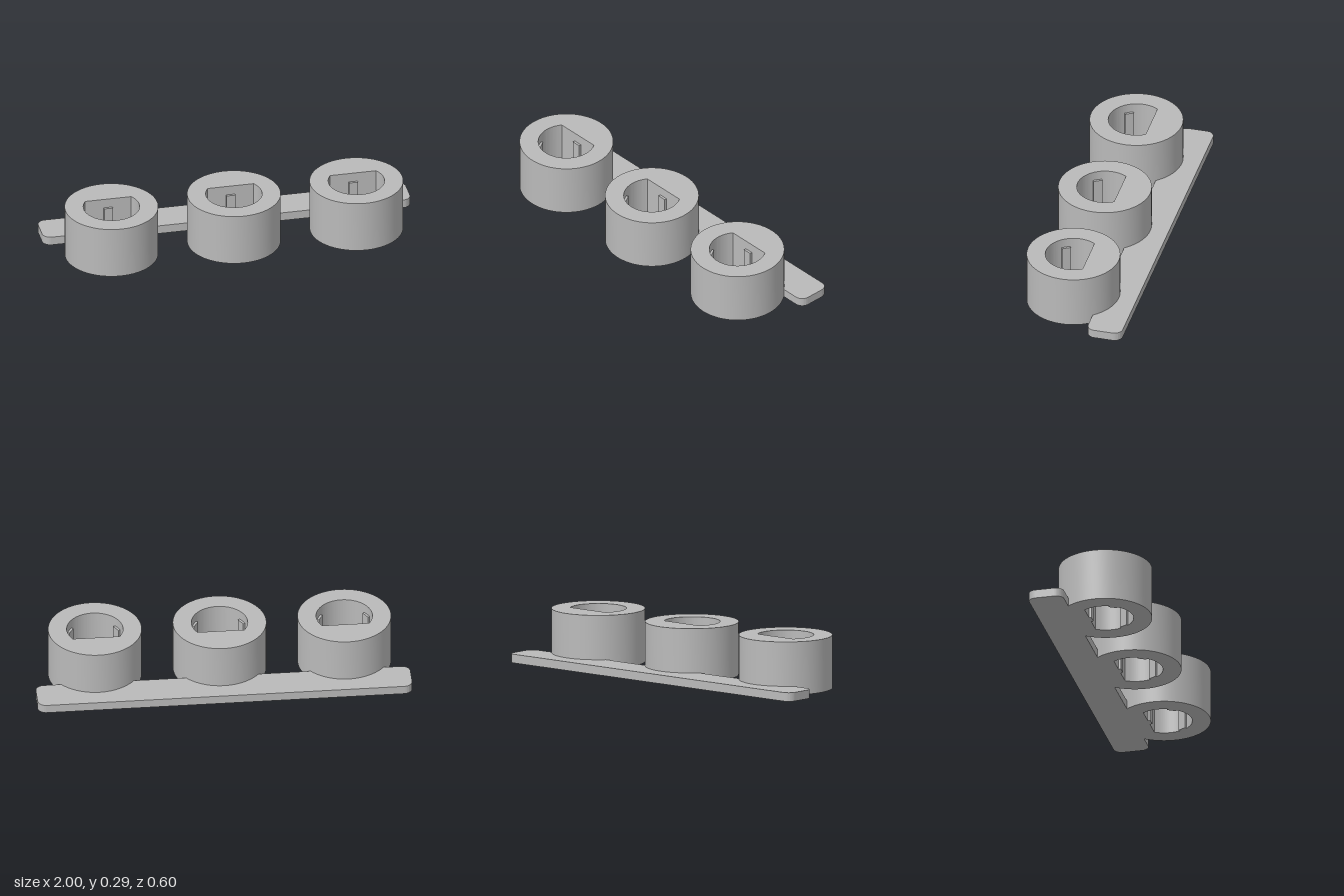
import * as THREE from 'three';
import { toCreasedNormals } from 'three/addons/utils/BufferGeometryUtils.js';

const RING_Z = 0.048, RING_R = 0.249, HOLE_R = 0.15, FLAT = 0.083;
const RING_H = 0.286, BAR_H = 0.047, NUB_H = 0.235;

// Extrude a plan shape (x, -z) upward from y = 0, smooth around its curves.
function extrudeUp(shape, height) {
  const geo = new THREE.ExtrudeGeometry(shape, { depth: height, bevelEnabled: false, curveSegments: 64 });
  geo.rotateX(-Math.PI / 2);
  return toCreasedNormals(geo, 0.5);
}

function roundedBar(x0, y0, x1, y1, r) {
  const s = new THREE.Shape();
  s.absarc(x1 - r, y0 + r, r, -Math.PI / 2, 0);
  s.absarc(x1 - r, y1 - r, r, 0, Math.PI / 2);
  s.absarc(x0 + r, y1 - r, r, Math.PI / 2, Math.PI);
  s.absarc(x0 + r, y0 + r, r, Math.PI, Math.PI * 1.5);
  s.closePath();
  return s;
}

export function createModel() {
  const grey = new THREE.MeshStandardMaterial({ color: 0xbababa });
  grey.name = 'grey plastic';
  const model = new THREE.Group();
  model.name = 'holderRack';

  const add = (parent, geo, name) => {
    const mesh = new THREE.Mesh(geo, grey);
    mesh.name = name;
    parent.add(mesh);
    return mesh;
  };

  // Flat mounting strip with rounded corners
  add(model, extrudeUp(roundedBar(-1, 0.108, 1, 0.298, 0.045), BAR_H), 'mountingBar');

  // Thick ring with a D-shaped bore, flat side towards the bar
  const ring = new THREE.Shape().absarc(0, 0, RING_R, 0, Math.PI * 2);
  const a = Math.asin(FLAT / HOLE_R);
  const bore = new THREE.Path().absarc(0, 0, HOLE_R, Math.PI - a, Math.PI * 2 + a);
  bore.closePath();
  ring.holes.push(bore);
  const ringGeo = extrudeUp(ring, RING_H);

  // Grip nubs: one on the flat, two on the round wall
  const nubGeo = new THREE.BoxGeometry(0.048, NUB_H, 0.03);
  const nubs = [
    { angle: 0, dist: FLAT + 0.002 },
    { angle: Math.PI * 2 / 3, dist: HOLE_R + 0.002 },
    { angle: -Math.PI * 2 / 3, dist: HOLE_R + 0.002 },
  ];

  for (const x of [-0.666, 0, 0.666]) {
    const holder = new THREE.Group();
    holder.name = 'holder';
    holder.position.set(x, 0, RING_Z);
    add(holder, ringGeo, 'ring');
    for (const { angle, dist } of nubs) {
      const nub = add(holder, nubGeo, 'gripNub');
      nub.position.set(-Math.sin(angle) * dist, NUB_H / 2, -Math.cos(angle) * dist);
      nub.rotation.y = angle;
    }
    model.add(holder);
  }
  return model;
}
